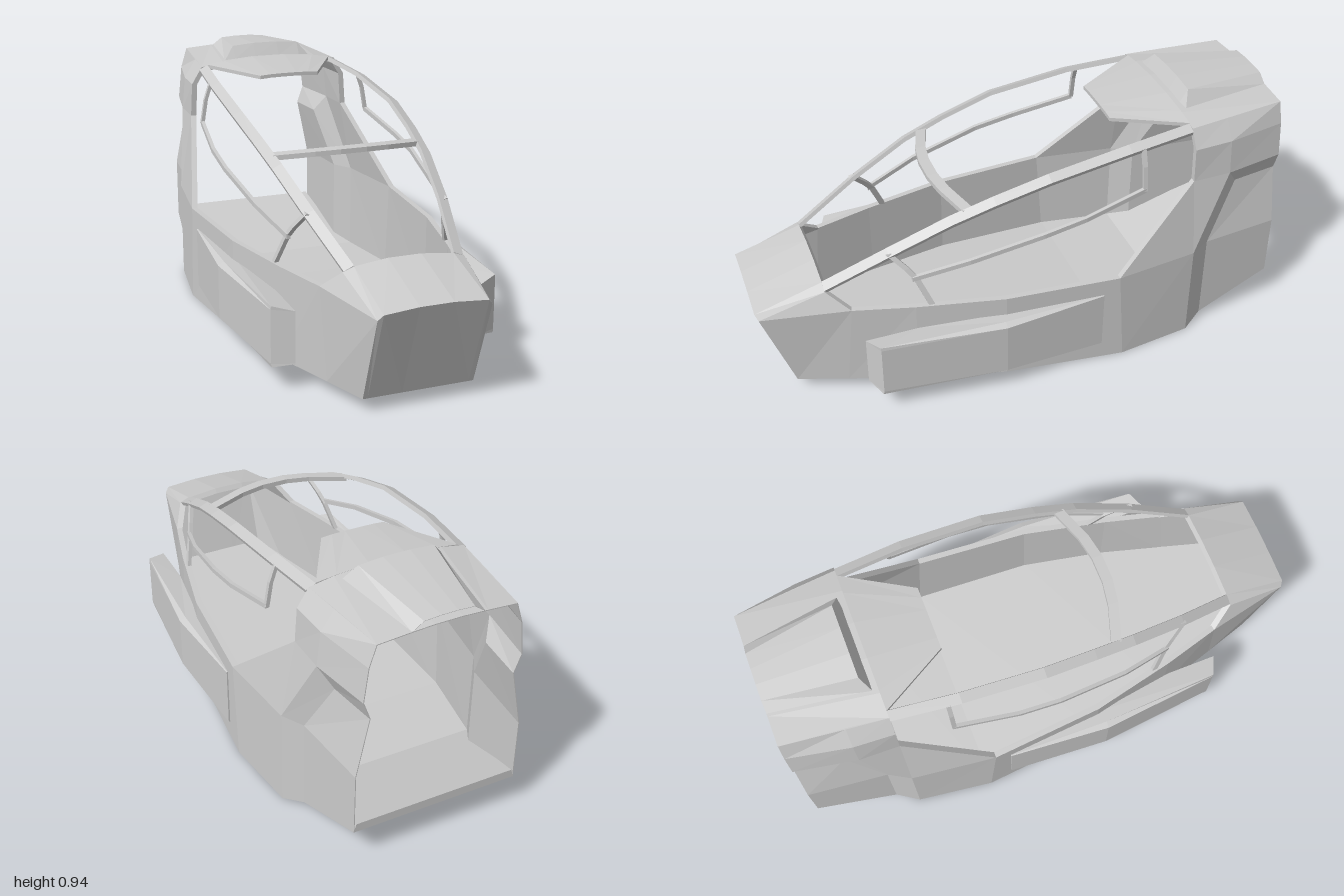
import * as THREE from 'three';

const material = new THREE.MeshStandardMaterial({ color: 0xcccccc, flatShading: true, side: THREE.DoubleSide });

// Closed slab: a grid of points, its offset copy, and the rim joining them
function slab(name, grid, offset) {
  const pos = [];
  const move = typeof offset === 'function' ? offset : p => p.map((v, i) => v + offset[i]);
  const back = grid.map(row => row.map(move));
  const quad = (a, b, c, d) => pos.push(...a, ...b, ...c, ...a, ...c, ...d);
  const R = grid.length - 1, C = grid[0].length - 1;
  for (let r = 0; r < R; r++) for (let c = 0; c < C; c++) {
    quad(grid[r][c], grid[r][c + 1], grid[r + 1][c + 1], grid[r + 1][c]);
    quad(back[r][c], back[r + 1][c], back[r + 1][c + 1], back[r][c + 1]);
  }
  for (let c = 0; c < C; c++) {
    quad(grid[0][c], back[0][c], back[0][c + 1], grid[0][c + 1]);
    quad(grid[R][c], grid[R][c + 1], back[R][c + 1], back[R][c]);
  }
  for (let r = 0; r < R; r++) {
    quad(grid[r][0], grid[r + 1][0], back[r + 1][0], back[r][0]);
    quad(grid[r][C], back[r][C], back[r + 1][C], grid[r + 1][C]);
  }
  const g = new THREE.BufferGeometry();
  g.setAttribute('position', new THREE.Float32BufferAttribute(pos, 3));
  g.computeVertexNormals();
  const mesh = new THREE.Mesh(g, material);
  mesh.name = name;
  return mesh;
}

const shift = (path, x, y, z) => path.map(p => [p[0] + x, p[1] + y, p[2] + z]);
const mirrorRow = half => [...half.map(p => [-p[0], p[1], p[2]]), ...half.slice().reverse()];
// Shell thickness, thinning to a sharp edge at the tail
const thickness = z => (z < -0.9 ? 0.003 : 0.022);

export function createModel() {
  const model = new THREE.Group();
  model.name = 'cockpitShell';

  // Outline of the hull's left bottom edge, nose to tail
  const keel = [[0.2, 0.05, 0.88], [0.33, 0.033, 0.45], [0.4, 0.02, 0.13], [0.433, 0, -0.33],
    [0.392, 0, -0.62], [0.345, 0.028, -0.7], [0.31, 0.135, -1]];
  const sill = [[0.2, 0.365, 0.99], [0.27, 0.375, 0.67], [0.33, 0.375, 0.45], [0.4, 0.375, 0.13], [0.433, 0.375, -0.3]];

  // Parts built once per side
  for (const side of [1, -1]) {
    const group = new THREE.Group();
    group.name = side > 0 ? 'leftSide' : 'rightSide';
    const flip = p => [p[0] * side, p[1], p[2]];
    const add = (name, grid, offset) => {
      const off = typeof offset === 'function' ? p => flip(offset(flip(p))) : flip(offset);
      const g = grid.map(row => row.map(flip));
      group.add(slab(name, side > 0 ? g : g.reverse(), off));
    };
    const inward = p => [p[0] - thickness(p[2]), p[1], p[2]];

    // Lower side wall
    add('sideWall', [[keel[0], [0.255, 0.043, 0.7], keel[1], keel[2], keel[3]], sill], inward);

    // Rear quarter with its stepped recess
    const P = sill[4], A = [0.392, 0.375, -0.62], top = [0.34, 0.67, -0.62], B = [0.335, 0.67, -0.77];
    const shoulder = [0.332, 0.8, -0.62], eave = [0.29, 0.868, -0.62];
    add('rearQuarter', [
      [keel[3], keel[4], keel[4], keel[5], keel[6]],
      [P, A, A, [0.345, 0.375, -0.7], [0.31, 0.375, -1]],
      [top, top, B, [0.295, 0.6, -0.82], [0.265, 0.6, -1]],
      [top, top, B, B, [0.29, 0.67, -1]],
      [shoulder, shoulder, [0.322, 0.8, -0.77], [0.322, 0.8, -0.77], [0.275, 0.8, -1]],
      [eave, eave, [0.275, 0.873, -0.77], [0.275, 0.873, -0.77], [0.25, 0.88, -1]],
    ], inward);

    // Cheek joining the hood to the side wall
    add('noseCheek', [[[0.2, 0.365, 0.99], [0.22, 0.445, 0.75]], [[0.2, 0.365, 0.99], [0.27, 0.375, 0.67]]], [-0.02, -0.005, -0.01]);

    // Side pod, tapering into the hull
    add('sidePod', [
      [[0.345, 0.288, 0.645], [0.345, 0.29, 0.45], [0.39, 0.302, 0.15], [0.422, 0.308, -0.24]],
      [[0.345, 0.288, 0.645], [0.418, 0.303, 0.61], [0.44, 0.306, 0.15], [0.43, 0.309, -0.24]],
      [[0.345, 0.286, 0.645], [0.42, 0.29, 0.608], [0.463, 0.294, 0.15], [0.433, 0.308, -0.24]],
    ], p => [p[0], 0.385 - p[1], p[2]]);

    // Main canopy arch
    const arch = [[0.18, 0.463, 0.75], [0.232, 0.59, 0.52], [0.268, 0.697, 0.3], [0.284, 0.753, 0.14],
      [0.298, 0.81, -0.06], [0.289, 0.856, -0.37], [0.264, 0.875, -0.62]];
    add('canopyArch', [arch, shift(arch, 0.036, -0.016, 0)], [-0.006, -0.016, 0]);

    // Window rail, its rear post and the front rib
    const rail = [[0.305, 0.49, 0.45], [0.355, 0.55, 0.25], [0.384, 0.615, -0.02], [0.382, 0.645, -0.18], [0.355, 0.697, -0.42]];
    add('windowRail', [rail, shift(rail, 0, -0.018, 0)], [-0.014, 0, 0]);
    const post = [[0.356, 0.685, -0.41], [0.34, 0.78, -0.41], [0.318, 0.845, -0.41]];
    add('windowPost', [post, shift(post, 0, 0, -0.016)], [-0.014, 0, 0]);
    const rib = [[0.262, 0.58, 0.53], [0.29, 0.52, 0.475], [0.305, 0.48, 0.445], [0.335, 0.372, 0.4]];
    add('windowRib', [rib, shift(rib, 0, 0.004, -0.02)], [-0.014, -0.004, 0]);
    model.add(group);
  }

  // Floor pan
  model.add(slab('floorPan', keel.map(p => [[-p[0], p[1], p[2]], p]), p => [p[0] * 0.97, p[1] + 0.033, p[2]]));

  // Nose: front face and crowned hood
  const noseTop = mirrorRow([[0.2, 0.365, 0.99], [0.183, 0.385, 1], [0.06, 0.395, 1]]);
  const noseBase = mirrorRow([[0.2, 0.05, 0.88], [0.183, 0.05, 0.88], [0.06, 0.05, 0.88]]);
  model.add(slab('noseFace', [noseTop, noseBase], [0, 0, -0.02]));
  const hoodRear = mirrorRow([[0.22, 0.445, 0.75], [0.18, 0.46, 0.75], [0.06, 0.474, 0.75]]);
  model.add(slab('hood', [noseTop, hoodRear], [0, -0.018, -0.012]));

  // Windscreen crossbar, bowed forward
  const bar = mirrorRow([[0.28, 0.714, 0.25], [0.14, 0.726, 0.295], [0.05, 0.73, 0.31]]);
  model.add(slab('crossbar', [bar, shift(bar, 0, 0.002, -0.04)], [0, -0.018, 0]));

  // Roof and the thin visor ahead of it
  const roofFront = mirrorRow([[0.29, 0.868, -0.62], [0.2, 0.885, -0.62], [0.07, 0.895, -0.62]]);
  const roofRear = mirrorRow([[0.25, 0.88, -1], [0.14, 0.888, -1], [0.05, 0.893, -1]]);
  model.add(slab('roof', [roofFront, roofRear], p => [p[0], p[1] - thickness(p[2]), p[2]]));
  const visorRear = mirrorRow([[0.265, 0.877, -0.62], [0.19, 0.887, -0.62], [0.07, 0.895, -0.62]]);
  const visorFront = mirrorRow([[0.12, 0.868, -0.37], [0.08, 0.871, -0.37], [0.03, 0.872, -0.37]]);
  model.add(slab('visor', [visorFront, visorRear], [0, -0.014, 0]));

  // Raised roof fairing
  const base = mirrorRow([[0.185, 0.883, -0.64], [0.14, 0.888, -0.64], [0.05, 0.893, -0.64]]);
  const crest = mirrorRow([[0.185, 0.883, -0.645], [0.14, 0.938, -0.67], [0.05, 0.945, -0.67]]);
  const tail = mirrorRow([[0.13, 0.888, -1], [0.09, 0.917, -1], [0.03, 0.921, -1]]);
  model.add(slab('roofFairing', [base, crest, tail], p => [p[0], p[1] - thickness(p[2]) / 2, p[2]]));

  return model;
}
